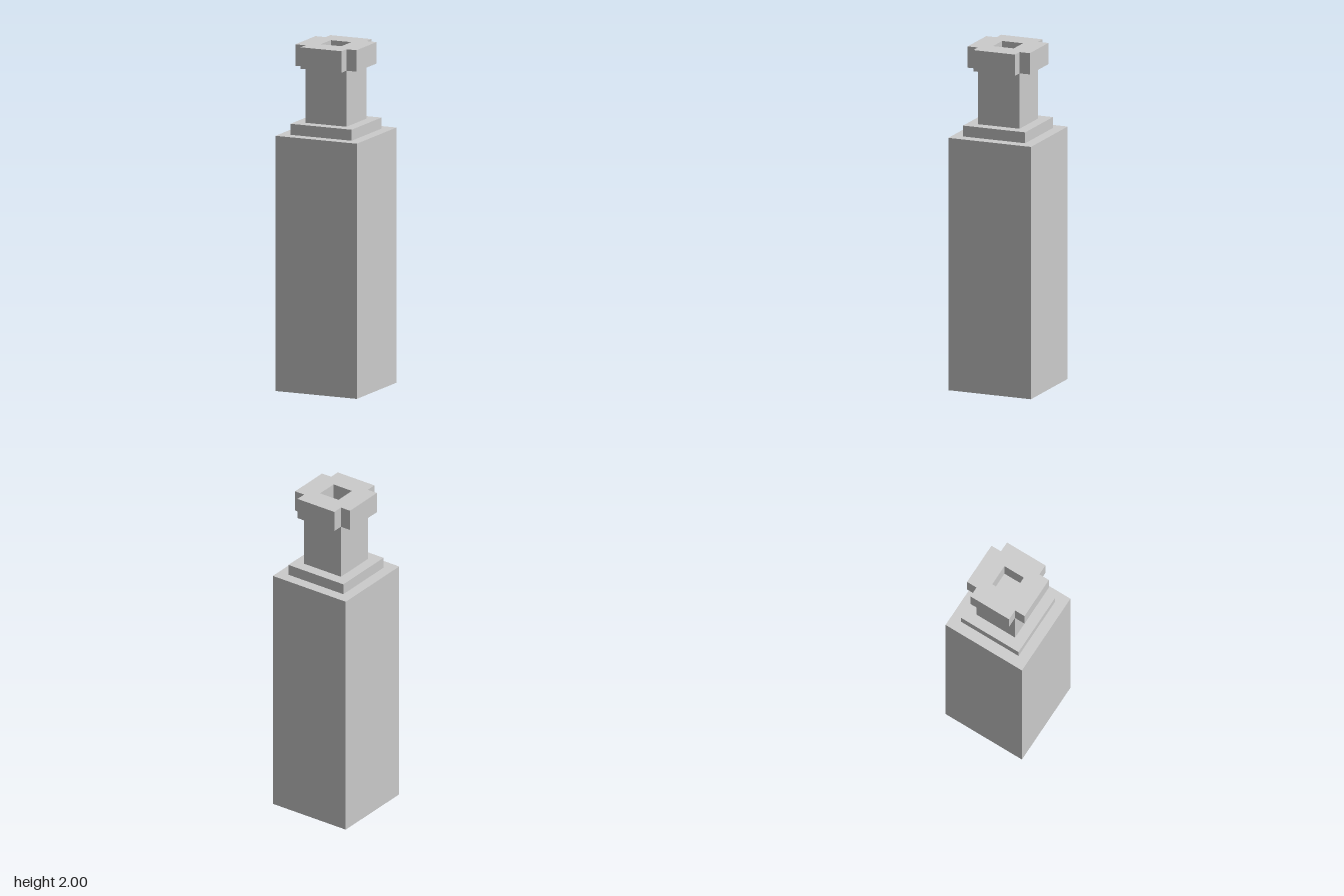
import * as THREE from 'three';

export function createModel() {
  const model = new THREE.Group();
  const material = new THREE.MeshStandardMaterial({ color: 0xcccccc, flatShading: true });

  const add = (name, geometry, y) => {
    const mesh = new THREE.Mesh(geometry, material);
    mesh.name = name;
    mesh.position.y = y;
    model.add(mesh);
  };

  // Square blocks stacked from the ground: name, half width, bottom, top
  const blocks = [
    ['body', 0.258, 0, 1.485],
    ['shoulder', 0.194, 1.485, 1.549],
    ['neck', 0.13, 1.549, 1.875],
  ];
  for (const [name, half, bottom, top] of blocks) {
    add(name, new THREE.BoxGeometry(2 * half, top - bottom, 2 * half), (bottom + top) / 2);
  }

  // Cap: square with notched corners and a square socket in the middle
  const o = 0.194, n = 0.13, h = 0.065;
  const outline = [];
  for (let i = 0; i < 4; i++) {
    for (const [x, y] of [[o, -n], [o, n], [n, n]]) {
      outline.push(new THREE.Vector2(x, y).rotateAround(new THREE.Vector2(), i * Math.PI / 2));
    }
  }
  const capShape = new THREE.Shape(outline);
  capShape.holes.push(new THREE.Path([
    new THREE.Vector2(-h, -h), new THREE.Vector2(-h, h),
    new THREE.Vector2(h, h), new THREE.Vector2(h, -h),
  ]));
  const cap = new THREE.ExtrudeGeometry(capShape, { depth: 0.125, bevelEnabled: false });
  cap.rotateX(-Math.PI / 2);
  add('cap', cap, 1.875);

  return model;
}
